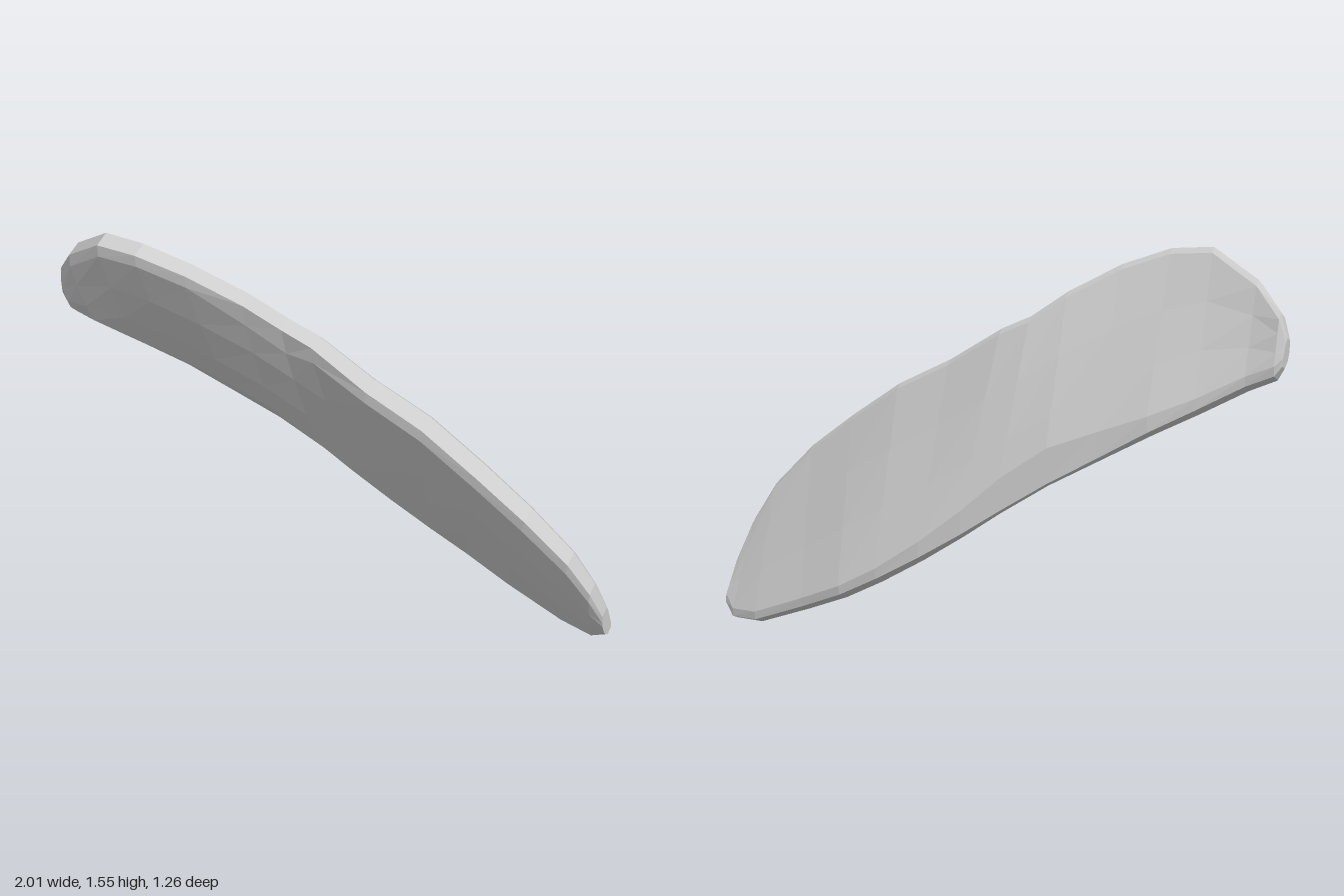
import * as THREE from 'three';

// Stations from heel to toe: upper edge xyz, lower edge xyz, thickness factor
const stations = [
  [-0.995, 1.24, 0.585, -1.0, 1.14, 0.555, 0.6],
  [-0.965, 1.325, 0.585, -0.98, 1.1, 0.54, 1],
  [-0.85, 1.435, 0.6, -0.9, 1.06, 0.48, 1.1],
  [-0.65, 1.55, 0.585, -0.78, 0.975, 0.36, 1.1],
  [-0.5, 1.545, 0.52, -0.65, 0.89, 0.24, 1.05],
  [-0.35, 1.485, 0.41, -0.5, 0.79, 0.125, 1],
  [-0.2, 1.38, 0.27, -0.35, 0.69, 0.01, 1],
  [-0.1, 1.285, 0.17, -0.2, 0.575, -0.095, 1],
  [0, 1.235, 0.11, -0.08, 0.475, -0.18, 1.05],
  [0.2, 1.105, 0.015, 0.05, 0.375, -0.27, 1.15],
  [0.4, 1.0, -0.085, 0.2, 0.275, -0.36, 1.2],
  [0.6, 0.86, -0.175, 0.34, 0.195, -0.435, 1.2],
  [0.78, 0.72, -0.26, 0.52, 0.12, -0.495, 1.15],
  [0.92, 0.55, -0.36, 0.75, 0.03, -0.58, 1.05],
  [0.98, 0.4, -0.435, 0.89, 0.02, -0.608, 0.9],
  [0.995, 0.25, -0.51, 0.96, 0.07, -0.605, 0.7],
];

const bell = (x, centre, spread) => Math.exp(-(((x - centre) / spread) ** 2));

// Bevelled cross-section running down the front face and back up the rear face
function section([tx, ty, tz, bx, by, bz, thick], normal) {
  const top = new THREE.Vector3(tx, ty, tz);
  const bottom = new THREE.Vector3(bx, by, bz);
  const width = top.distanceTo(bottom);
  const inset = (d) => Math.min(d / width, 0.25);
  const half = 0.045 * thick;

  // Bevels widen around the waist and arch, where the lower rim also thins
  const arch = bell(bx, -0.3, 0.3);
  const upper = inset(0.045 + 0.075 * bell(tx, -0.13, 0.12));
  const lowerFront = inset(0.04 + 0.06 * bell(bx, -0.45, 0.3));
  const lowerRear = inset(0.03 + 0.1 * arch);
  const lip = -0.65 + 0.6 * arch;

  const profile = [
    [0, 0.65], [upper, 1], [0.35, 1.15], [0.65, 1.12], [1 - lowerFront, 0.95], [1, 0.4],
    [1, lip], [1 - lowerRear, -0.95], [0.65, -0.95], [0.35, -0.95], [inset(0.03), -0.95], [0, -0.65],
  ];
  return profile.map(([u, h]) => top.clone().lerp(bottom, u).addScaledVector(normal, h * half));
}

// Skin consecutive sections and close both ends with fans
function loft(rings) {
  const n = rings[0].length;
  const positions = [];
  const tri = (...points) => points.forEach((p) => positions.push(p.x, p.y, p.z));
  for (let i = 0; i < rings.length - 1; i++) {
    for (let j = 0; j < n; j++) {
      const k = (j + 1) % n;
      tri(rings[i][j], rings[i][k], rings[i + 1][j]);
      tri(rings[i][k], rings[i + 1][k], rings[i + 1][j]);
    }
  }
  const cap = (ring, flip) => {
    const mid = new THREE.Vector3();
    ring.forEach((p) => mid.addScaledVector(p, 1 / n));
    ring.forEach((p, j) => {
      const q = ring[(j + 1) % n];
      if (flip) tri(mid, q, p);
      else tri(mid, p, q);
    });
  };
  cap(rings[0], true);
  cap(rings[rings.length - 1], false);
  const geometry = new THREE.BufferGeometry();
  geometry.setAttribute('position', new THREE.Float32BufferAttribute(positions, 3));
  geometry.computeVertexNormals();
  return geometry;
}

export function createModel() {
  const group = new THREE.Group();
  group.name = 'tiltedInsole';

  const lightGrey = new THREE.MeshStandardMaterial({ color: 0xcccccc });
  lightGrey.name = 'light grey';
  lightGrey.flatShading = true;

  // Insole slab, pinched at the waist
  const normal = new THREE.Vector3(0.385, -0.46, 1).normalize();
  const geometry = loft(stations.map((s) => section(s, normal)));

  // Centre it and rest it on the ground plane
  geometry.computeBoundingBox();
  const { min, max } = geometry.boundingBox;
  geometry.translate(-(min.x + max.x) / 2, -min.y, -(min.z + max.z) / 2);

  const insole = new THREE.Mesh(geometry, lightGrey);
  insole.name = 'insole';
  group.add(insole);
  return group;
}
